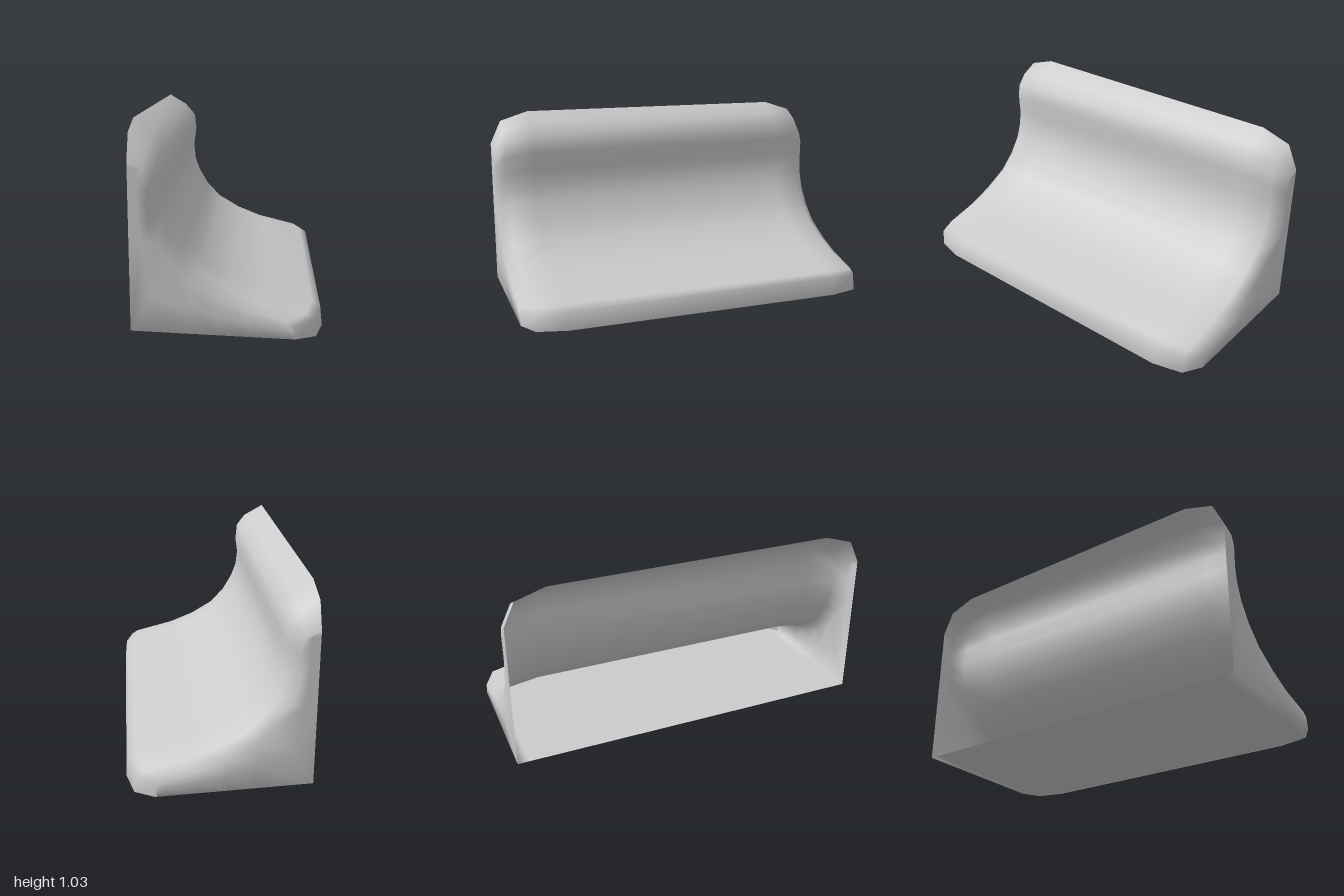
import * as THREE from 'three';
import { mergeVertices } from 'three/addons/utils/BufferGeometryUtils.js';

// Mid cross-section (x, y) from the top back edge down to the front lip
const MID = [
  [-0.46, 1.03], [-0.36, 0.97], [-0.3, 0.9], [-0.29, 0.81], [-0.305, 0.7], [-0.295, 0.6], [-0.265, 0.52],
  [-0.21, 0.42], [-0.13, 0.33], [0, 0.25], [0.15, 0.19], [0.41, 0.125], [0.45, 0.1], [0.46, 0],
];
// Smaller cross-section at the two ends, which rounds the corners
const END = [
  [-0.46, 0.85], [-0.39, 0.82], [-0.37, 0.77], [-0.37, 0.72], [-0.375, 0.65], [-0.365, 0.56], [-0.335, 0.47],
  [-0.27, 0.37], [-0.18, 0.28], [-0.04, 0.2], [0.1, 0.14], [0.28, 0.09], [0.31, 0.07], [0.32, 0.0061],
];
const BACK = -0.46;
const CORNER = 7; // profile point whose end-wall line runs to the lower back corner
const LAST = MID.length - 1;

const mix = THREE.MathUtils.lerp;
const floorY = (x) => 0.04 * (0.46 - x) / 0.92;

// Row of points along the profile at depth z; t blends from MID to END
const section = (z, t) =>
  MID.map((p, i) => new THREE.Vector3(mix(p[0], END[i][0], t), mix(p[1], END[i][1], t), z));

// Row on the end wall, s = 0 at the rounded rim, s = 1 on the back and floor edges
const endRow = (z, s) =>
  END.map(([x, y], i) => {
    const tx = i <= CORNER ? BACK : x;
    const ty = i < CORNER ? y : floorY(tx);
    return new THREE.Vector3(mix(x, tx, s), mix(y, ty, s), z);
  });

// Row across the sloping floor, from the front lip to the open back
const floorRow = (row) => {
  const front = row[LAST];
  const out = [front];
  for (let i = LAST - 1; i >= CORNER; i--) {
    const u = i === CORNER ? 0 : (END[i][0] - BACK) / (END[LAST][0] - BACK);
    const x = mix(BACK, front.x, u);
    out.push(new THREE.Vector3(x, mix(floorY(BACK), front.y, u), front.z));
  }
  return out;
};

// Joins neighbouring rows with quads
function addGrid(positions, rows) {
  for (let j = 0; j < rows.length - 1; j++) {
    for (let i = 0; i < rows[j].length - 1; i++) {
      const a = rows[j][i], b = rows[j][i + 1], c = rows[j + 1][i + 1], d = rows[j + 1][i];
      for (const v of [a, d, c, a, c, b]) positions.push(v.x, v.y, v.z);
    }
  }
}

export function createModel() {
  const group = new THREE.Group();
  group.name = 'curvedBracket';

  const sections = [
    section(-1, 1), section(-0.94, 0.28), section(-0.78, 0),
    section(0.78, 0), section(0.94, 0.28), section(1, 1),
  ];
  const positions = [];
  // End walls and curved top in one continuous skin
  addGrid(positions, [
    endRow(-1, 1), endRow(-1, 0.5), ...sections, endRow(1, 0.5), endRow(1, 1),
  ]);
  // Floor; the back stays open
  addGrid(positions, sections.map(floorRow));

  let geometry = new THREE.BufferGeometry();
  geometry.setAttribute('position', new THREE.Float32BufferAttribute(positions, 3));
  geometry = mergeVertices(geometry, 1e-4);
  geometry.computeVertexNormals();

  const shell = new THREE.Mesh(
    geometry,
    new THREE.MeshStandardMaterial({ color: 0xcccccc, side: THREE.DoubleSide }),
  );
  shell.name = 'openBackedShell';
  group.add(shell);
  return group;
}
